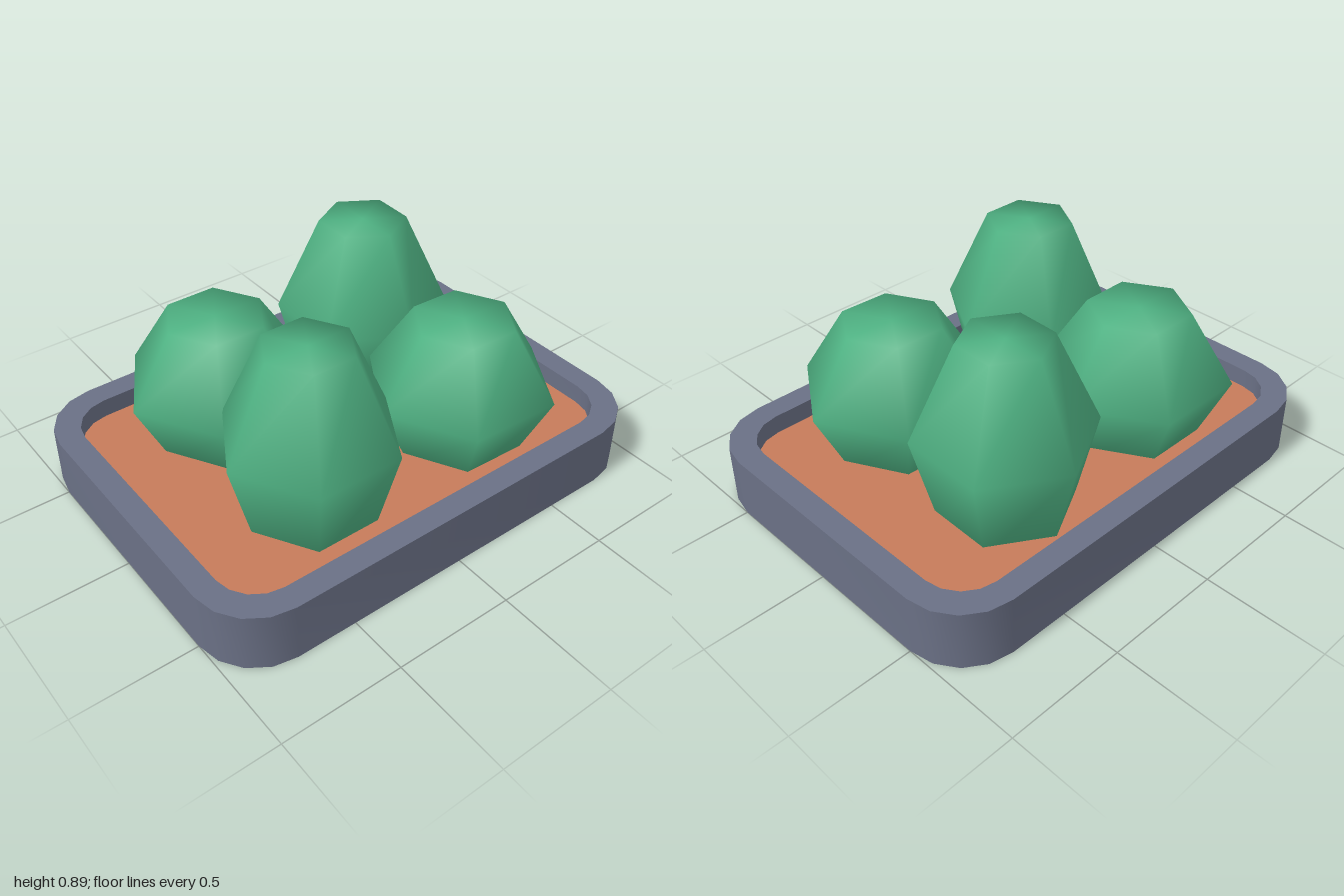
import * as THREE from 'three';
import { mergeVertices, toCreasedNormals } from 'three/addons/utils/BufferGeometryUtils.js';

const slate = new THREE.MeshStandardMaterial({ color: 0x6a7085 });
slate.name = 'slate';
const clay = new THREE.MeshStandardMaterial({ color: 0xc67b5a });
clay.name = 'clay';
const green = new THREE.MeshStandardMaterial({ color: 0x4fb283 });
green.name = 'green';

// Rounded rectangle outline with half sizes w, d and corner radius r
function roundedRect(w, d, r, Type = THREE.Shape) {
  const s = new Type();
  s.absarc(w - r, d - r, r, 0, Math.PI / 2);
  s.absarc(r - w, d - r, r, Math.PI / 2, Math.PI);
  s.absarc(r - w, r - d, r, Math.PI, Math.PI * 1.5);
  s.absarc(w - r, r - d, r, Math.PI * 1.5, Math.PI * 2);
  s.closePath();
  return s;
}

// Upright slab of an outline from y0 to y1, with softly shaded corners
function slab(name, shape, y0, y1, material) {
  const flat = new THREE.ExtrudeGeometry(shape, { depth: y1 - y0, bevelEnabled: false, curveSegments: 2 });
  flat.rotateX(-Math.PI / 2).translate(0, y0, 0);
  const mesh = new THREE.Mesh(toCreasedNormals(flat, Math.PI / 3), material);
  mesh.name = name;
  return mesh;
}

// Six-sided bulging plant: three rings given as [radius, height], bottom first
function plant(name, rings, x, z, turn) {
  let geo = new THREE.CylinderGeometry(1, 1, 2, 6, 2);
  const p = geo.attributes.position;
  for (let i = 0; i < p.count; i++) {
    const [radius, height] = rings[Math.round(p.getY(i)) + 1];
    p.setXYZ(i, p.getX(i) * radius, height, p.getZ(i) * radius);
  }
  // weld everything so the shading runs smoothly over the shoulders
  geo.deleteAttribute('normal');
  geo.deleteAttribute('uv');
  geo = mergeVertices(geo, 1e-4);
  geo.computeVertexNormals();
  const mesh = new THREE.Mesh(geo, green);
  mesh.name = name;
  mesh.position.set(x, 0, z);
  mesh.rotation.y = turn;
  return mesh;
}

export function createModel() {
  const group = new THREE.Group();
  group.name = 'plantTray';

  // Tray rim, floor and soil
  const rim = roundedRect(1, 0.75, 0.25);
  rim.holes.push(roundedRect(0.9, 0.65, 0.17, THREE.Path));
  const inner = roundedRect(0.9, 0.65, 0.17);
  group.add(
    slab('trayRim', rim, 0, 0.25, slate),
    slab('trayFloor', inner, 0, 0.1, slate),
    slab('soil', inner, 0.1, 0.17, clay)
  );

  // Two tall and two short plants, placed on opposite corners
  const tall = [[0.26, 0.12], [0.357, 0.5], [0.18, 0.89]];
  const short = [[0.25, 0.12], [0.39, 0.42], [0.207, 0.71]];
  const sixth = Math.PI / 6;
  group.add(
    plant('tallPlantFront', tall, -0.357, 0.29, sixth),
    plant('shortPlantBack', short, -0.373, -0.3, sixth),
    plant('shortPlantFront', short, 0.375, 0.3, sixth - 0.04),
    plant('tallPlantBack', tall, 0.355, -0.305, -0.03)
  );
  return group;
}
